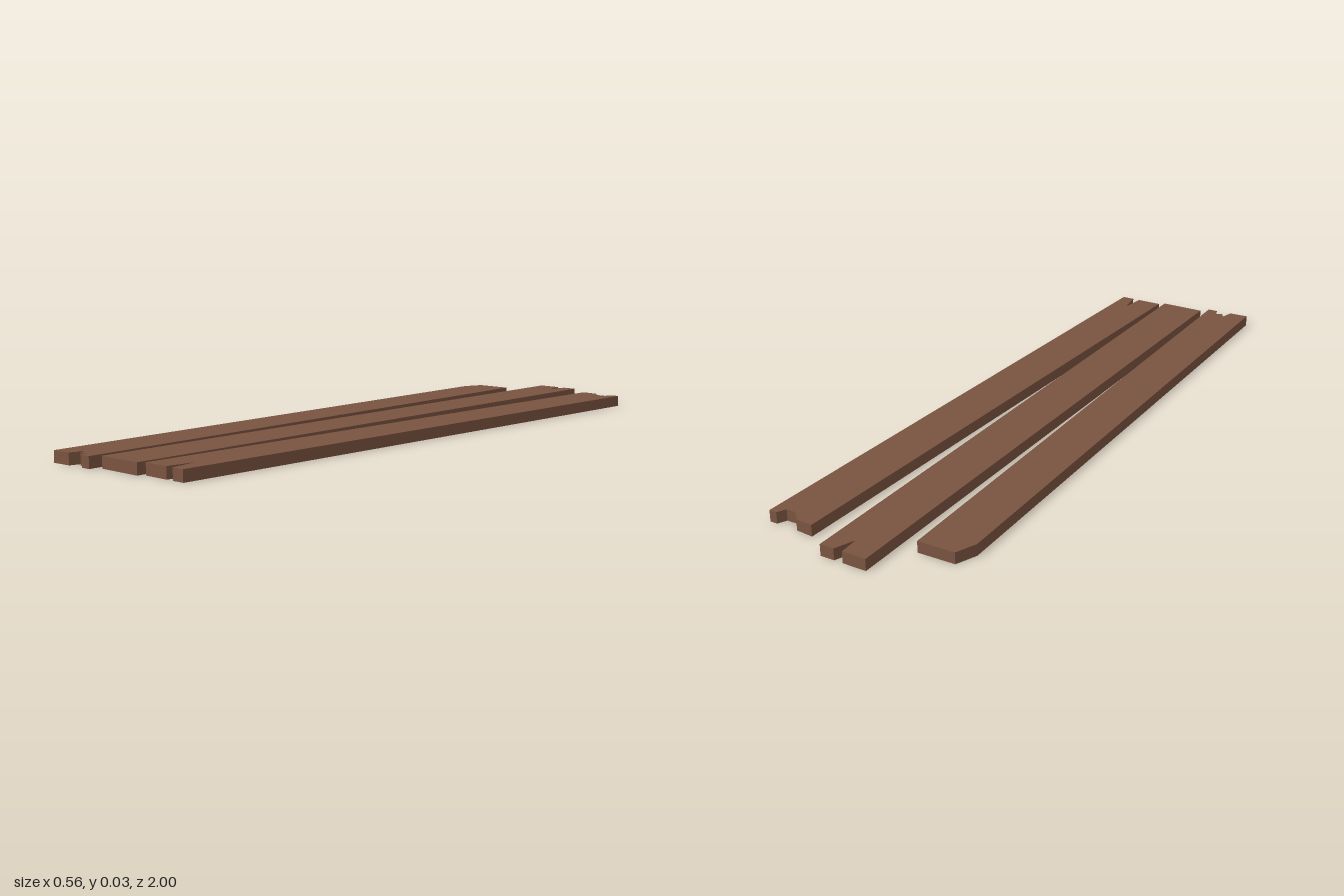
import * as THREE from 'three';

const THICKNESS = 0.034;

// Outlines seen from above, as [x, z] corners
const PLANKS = {
  rightPlank: [
    [-0.281, -0.8], [-0.256, -0.862], [-0.143, -0.864], [-0.105, 0.994],
    [-0.136, 0.994], [-0.147, 0.966], [-0.163, 0.978], [-0.177, 0.955],
    [-0.187, 0.997], [-0.248, 1],
  ],
  middlePlank: [
    [-0.084, -1], [-0.012, -1], [-0.008, -0.94], [0.015, -1],
    [0.058, -1], [0.058, 0.968], [-0.084, 0.968],
  ],
  leftPlank: [
    [0.137, -0.937], [0.19, -0.932], [0.215, -0.905], [0.245, -0.905],
    [0.258, -0.931], [0.281, -0.931], [0.217, 0.953], [0.178, 0.953],
    [0.166, 0.868], [0.154, 0.953], [0.074, 0.953],
  ],
};

// Upright extrusion of a flat outline lying on the ground
function plankGeometry(outline) {
  const shape = new THREE.Shape(outline.map(([x, z]) => new THREE.Vector2(x, -z)));
  const geometry = new THREE.ExtrudeGeometry(shape, { depth: THICKNESS, bevelEnabled: false });
  return geometry.rotateX(-Math.PI / 2);
}

export function createModel() {
  const model = new THREE.Group();
  model.name = 'woodenPlanks';
  const wood = new THREE.MeshStandardMaterial({ color: 0x7a5440 });

  // Three loose boards with splintered ends
  for (const [name, outline] of Object.entries(PLANKS)) {
    const plank = new THREE.Mesh(plankGeometry(outline), wood);
    plank.name = name;
    model.add(plank);
  }
  return model;
}
